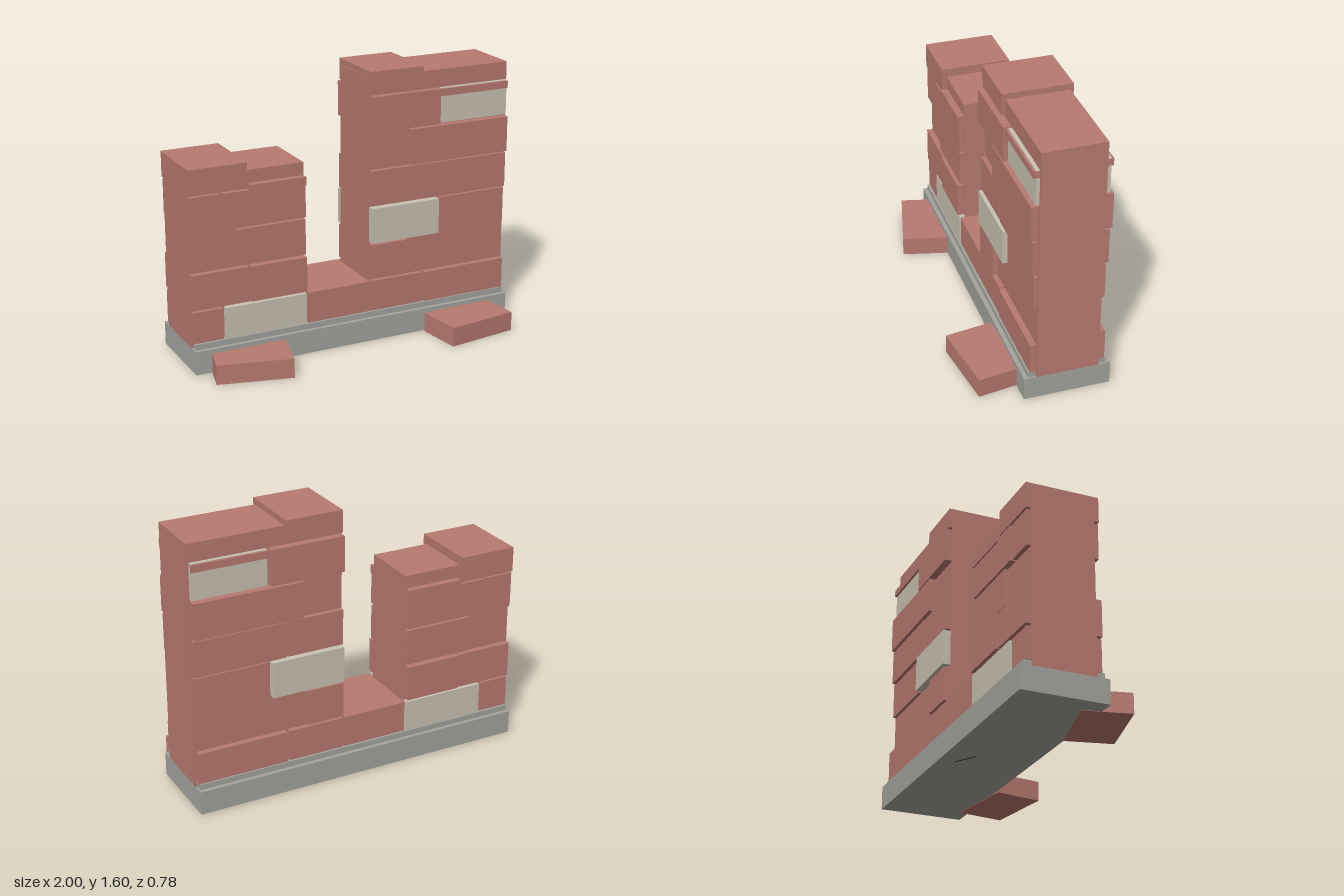
import * as THREE from 'three';

export function createModel() {
  const model = new THREE.Group();
  model.name = 'ruinedBrickWall';
  const mat = (name, color) => {
    const m = new THREE.MeshStandardMaterial({ color });
    m.name = name;
    return m;
  };
  const red = mat('brickRed', 0xb87a70);
  const pale = mat('paleBrick', 0xcac3b3);
  const stone = mat('footingStone', 0xa4a49e);
  const dark = mat('crackDark', 0x2f2d2c);
  const midZ = -0.145; // centre plane of the wall

  // Box from x and y ranges, reaching equally far to both faces of the wall
  function block(name, material, x0, x1, y0, y1, half, parent = model) {
    const mesh = new THREE.Mesh(new THREE.BoxGeometry(x1 - x0, y1 - y0, half * 2), material);
    mesh.position.set((x0 + x1) / 2, (y0 + y1) / 2, midZ);
    mesh.name = name;
    parent.add(mesh);
    return mesh;
  }

  // Stone footing with a stepped ledge
  block('footing', stone, -1, 1, 0.002, 0.14, 0.249);
  block('footingLedge', stone, -0.99, 0.99, 0.14, 0.172, 0.224);

  // Solid cores of the two standing pieces
  block('leftWallCore', red, 0.1, 1, 0.14, 1.56, 0.18);
  block('rightWallCore', red, -1, -0.305, 0.14, 1.125, 0.18);

  // Courses of through bricks: [x0, x1, half depth, pale?]
  const rows = [[0.172, 0.355], [0.37, 0.577], [0.59, 0.8], [0.812, 1.02], [1.03, 1.24], [1.25, 1.455]];
  const leftCourses = [
    [[0.105, 0.44, 0.21], [0.455, 0.99, 0.215]],
    [[0.105, 0.335, 0.215]],
    [[0.105, 0.54, 0.224, true], [0.555, 0.99, 0.2]],
    [[0.105, 0.44, 0.208], [0.455, 0.99, 0.212]],
    [[0.35, 0.99, 0.224]],
    [[0.105, 0.54, 0.224], [0.555, 0.99, 0.202, true]],
  ];
  const rightCourses = [
    [[-0.995, -0.815, 0.208], [-0.8, -0.308, 0.215, true]],
    [[-0.995, -0.655, 0.215], [-0.645, -0.308, 0.224]],
    [[-0.72, -0.308, 0.208]],
    [[-0.995, -0.815, 0.205], [-0.8, -0.308, 0.212]],
  ];
  for (const [name, courses] of [['leftBricks', leftCourses], ['rightBricks', rightCourses]]) {
    const group = new THREE.Group();
    group.name = name;
    courses.forEach((course, i) => course.forEach(([x0, x1, half, isPale]) =>
      block(isPale ? 'paleBrick' : 'brick', isPale ? pale : red, x0, x1, ...rows[i], half, group)));
    model.add(group);
  }

  // Low brick bridging the gap, thin slips and broken top bricks
  block('gapBrick', red, -0.295, 0.095, 0.172, 0.355, 0.21);
  block('leftSlip', red, 0.545, 0.99, 1.41, 1.452, 0.215);
  block('rightSlip', red, -0.645, -0.306, 1.0, 1.05, 0.22);
  block('leftTopBrick', red, 0.105, 0.44, 1.47, 1.595, 0.2);
  block('rightTopBrick', red, -0.998, -0.655, 1.03, 1.178, 0.21);

  // Fallen bricks lying in front
  for (const [x, z, angle] of [[-0.701, 0.182, -14], [0.67, 0.222, 8]]) {
    const mesh = new THREE.Mesh(new THREE.BoxGeometry(0.434, 0.115, 0.278), red);
    mesh.position.set(x, 0.0575, z);
    mesh.rotation.y = THREE.MathUtils.degToRad(angle);
    mesh.name = 'fallenBrick';
    model.add(mesh);
  }

  // Small crack on the underside
  const crack = new THREE.Mesh(new THREE.BoxGeometry(0.14, 0.004, 0.008), dark);
  crack.position.set(0.01, 0.002, -0.265);
  crack.rotation.y = 0.55;
  crack.name = 'undersideCrack';
  model.add(crack);

  return model;
}
